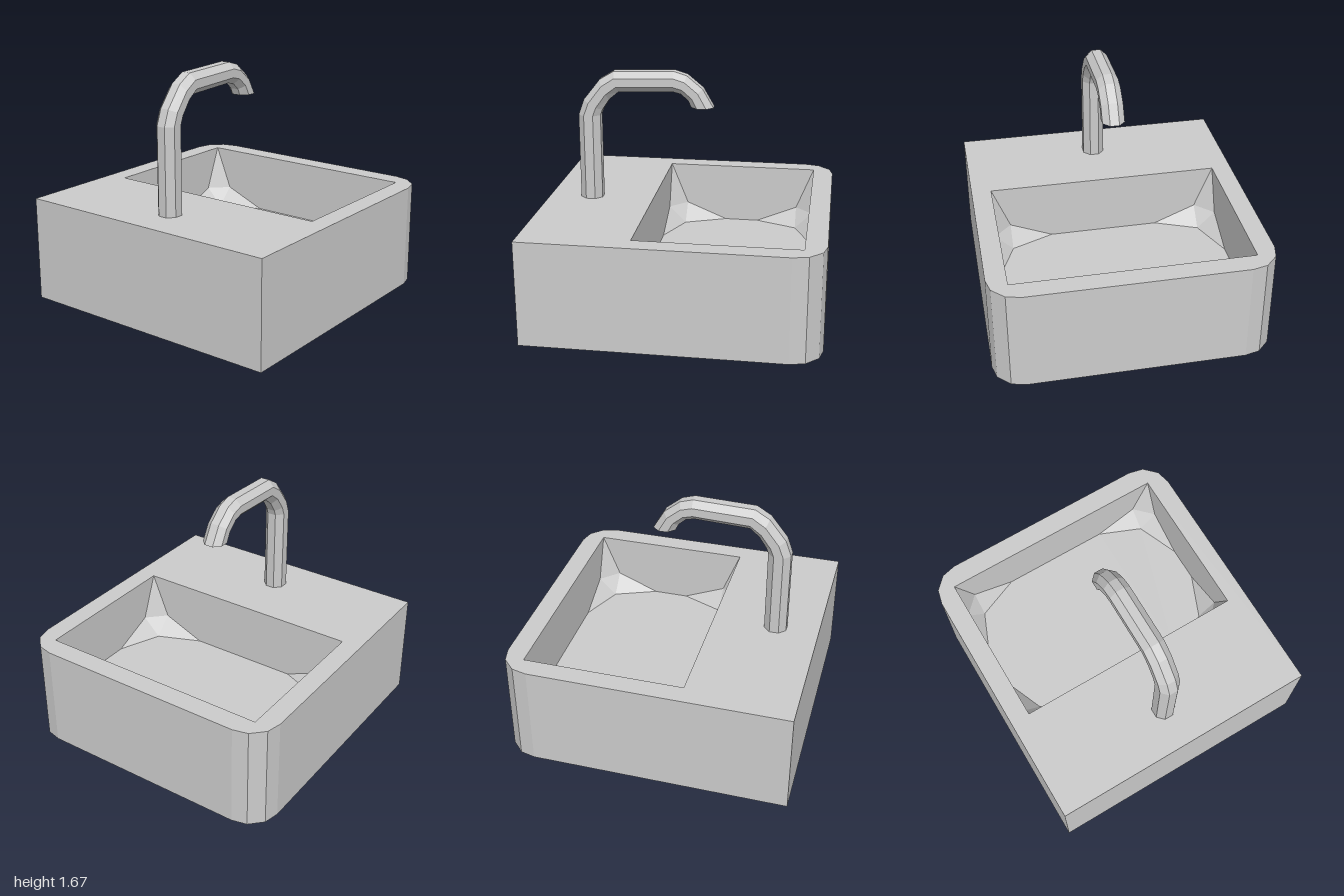
import * as THREE from 'three';

const H = 0.735;                       // block height
const BASIN = { x: 0.3, hx: 0.555, hz: 0.825, depth: 0.44 };
const R = 0.43, M = R * (1 - Math.SQRT1_2);   // corner blend radius and its arc midpoint

const material = () => new THREE.MeshStandardMaterial({ color: 0xcccccc, flatShading: true });

// Mesh from convex polygons, each fanned into triangles
function polyMesh(name, polygons) {
  const pos = [];
  for (const p of polygons)
    for (let i = 1; i < p.length - 1; i++) pos.push(...p[0], ...p[i], ...p[i + 1]);
  const g = new THREE.BufferGeometry();
  g.setAttribute('position', new THREE.Float32BufferAttribute(pos, 3));
  g.computeVertexNormals();
  const mesh = new THREE.Mesh(g, material());
  mesh.name = name;
  return mesh;
}

// Plan outline of the block: square at -x, rounded at +x
const half = [[-1, 0.965], [0.785, 0.965], [0.89, 0.94], [0.975, 0.855], [1, 0.75]];
const outline = [...half, ...half.map(([x, z]) => [x, -z]).reverse()];

function block() {
  const polys = outline.map(([x, z], i) => {
    const [u, w] = outline[(i + 1) % outline.length];
    return [[x, 0, z], [u, 0, w], [u, H, w], [x, H, z]];
  });
  polys.push(outline.map(([x, z]) => [x, 0, z]).reverse());
  return polyMesh('block', polys);
}

// Flat top with the basin opening
function rim() {
  const shape = new THREE.Shape(outline.map(([x, z]) => new THREE.Vector2(x, -z)));
  const { x, hx, hz } = BASIN;
  shape.holes.push(new THREE.Path([[-1, -1], [-1, 1], [1, 1], [1, -1]]
    .map(([a, b]) => new THREE.Vector2(x + a * hx, b * hz))));
  const g = new THREE.ShapeGeometry(shape);
  g.rotateX(-Math.PI / 2).translate(0, H, 0);
  const mesh = new THREE.Mesh(g, material());
  mesh.name = 'topSurface';
  return mesh;
}

// Points of one basin corner: T rim, P/Q on the walls, A/B/C on the floor
function corner(sx, sz) {
  const { x, hx, hz, depth: d } = BASIN;
  const at = (ox, oz, down) => [x + sx * (hx - ox), H - down, sz * (hz - oz)];
  return {
    T: at(0, 0, 0), P: at(0, M, d - M), Q: at(M, 0, d - M),
    A: at(0, R, d), B: at(R, 0, d), C: at(M, M, d),
  };
}

function basin() {
  const bl = corner(-1, -1), br = corner(1, -1), fl = corner(-1, 1), fr = corner(1, 1);
  const sideWall = (b, f) => [b.T, b.P, b.A, f.A, f.P, f.T];
  const endWall = (l, r) => [l.T, l.Q, l.B, r.B, r.Q, r.T];
  const polys = [
    sideWall(bl, fl).reverse(), sideWall(br, fr),
    endWall(bl, br), endWall(fl, fr).reverse(),
    [fl.A, fl.C, fl.B, fr.B, fr.C, fr.A, br.A, br.C, br.B, bl.B, bl.C, bl.A],
  ];
  // Faceted corner blends
  [[bl, false], [br, true], [fl, true], [fr, false]].forEach(([{ T, P, Q, A, B, C }, flip]) => {
    for (const t of [[T, P, Q], [P, C, Q], [P, A, C], [Q, C, B]]) polys.push(flip ? t.reverse() : t);
  });
  return polyMesh('basin', polys);
}

// Spout swept through rings given as outer x, y and inner x, y
function faucet() {
  const path = [
    [-0.775, H, -0.62, H], [-0.775, 1.34, -0.62, 1.34], [-0.735, 1.45, -0.605, 1.38],
    [-0.62, 1.595, -0.555, 1.455], [-0.52, 1.655, -0.49, 1.51], [-0.1, 1.668, -0.11, 1.525],
    [-0.01, 1.64, -0.05, 1.51], [0.1, 1.55, 0, 1.465], [0.175, 1.42, 0.02, 1.42],
  ];
  const n = 8, k = 1 / Math.cos(Math.PI / n);
  const rings = path.map(([ox, oy, ix, iy]) => Array.from({ length: n }, (_, j) => {
    const a = (j + 0.5) * 2 * Math.PI / n, c = Math.cos(a) * k / 2;
    return [(ox + ix) / 2 + (ox - ix) * c, (oy + iy) / 2 + (oy - iy) * c, 0.076 * k * Math.sin(a)];
  }));
  const polys = [rings[rings.length - 1]];
  for (let i = 0; i < rings.length - 1; i++)
    for (let j = 0; j < n; j++) {
      const m = (j + 1) % n;
      polys.push([rings[i][j], rings[i][m], rings[i + 1][m], rings[i + 1][j]]);
    }
  return polyMesh('faucet', polys);
}

export function createModel() {
  const group = new THREE.Group();
  group.name = 'sink';
  group.add(block(), rim(), basin(), faucet());
  return group;
}
